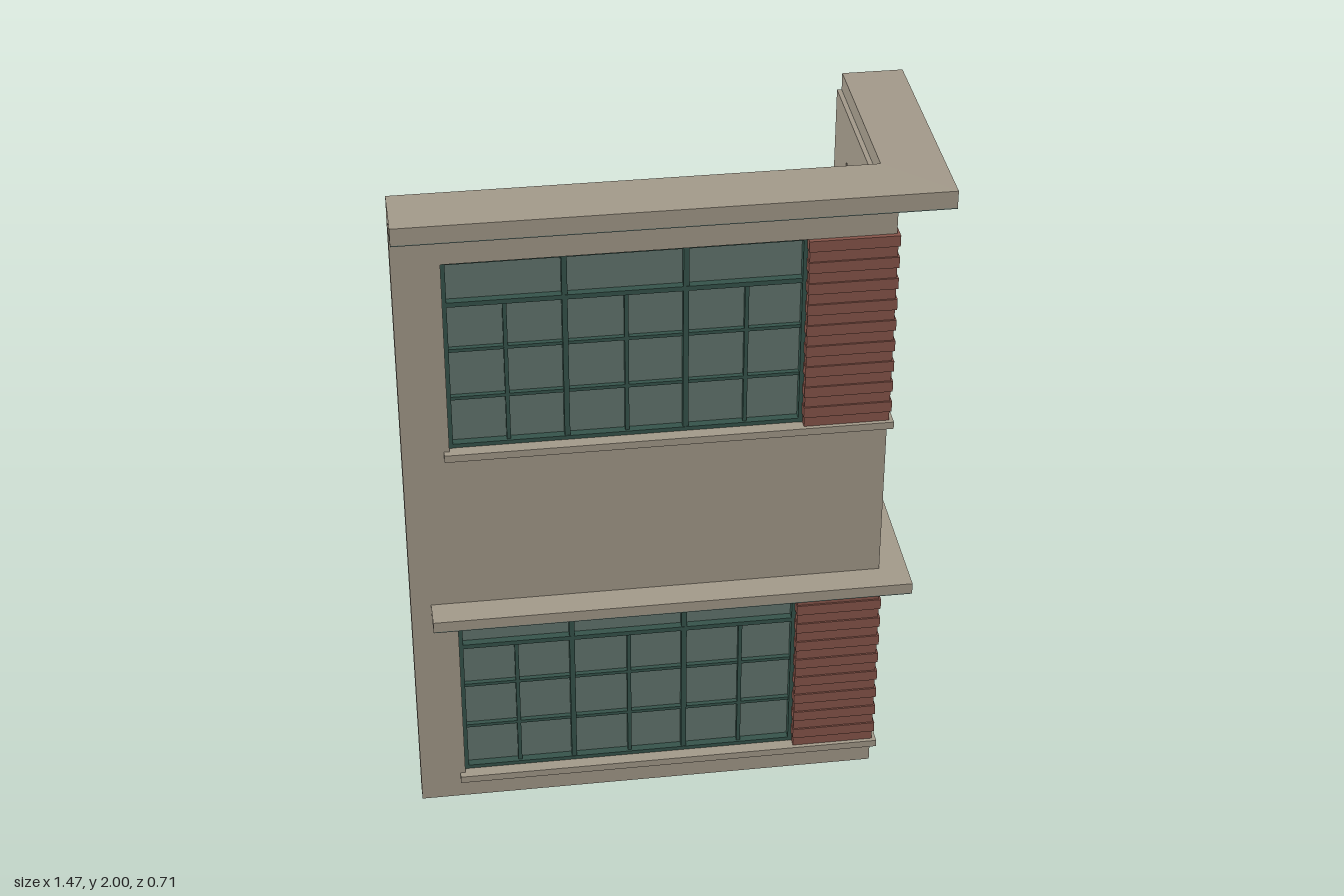
import * as THREE from 'three';

const mat = (name, color) => {
  const m = new THREE.MeshStandardMaterial({ color });
  m.name = name;
  return m;
};

export function createModel() {
  const stone = mat('stone', 0xa39a8a);
  const brick = mat('brick', 0x87554a);
  const glass = mat('glass', 0x62766f);
  const frame = mat('frameGreen', 0x36544b);

  // Box given by its limits on each axis
  const box = (parent, name, material, x0, x1, y0, y1, z0, z1) => {
    const mesh = new THREE.Mesh(new THREE.BoxGeometry(x1 - x0, y1 - y0, z1 - z0), material);
    mesh.position.set((x0 + x1) / 2, (y0 + y1) / 2, (z0 + z1) / 2);
    mesh.name = name;
    parent.add(mesh);
    return mesh;
  };

  // L-shaped slab wrapping the corner: outer corner (xo, zo), inner corner (xi, zi)
  const slab = (parent, name, material, left, back, xo, zo, xi, zi, y0, y1) => {
    const pts = [[left, zo], [xo, zo], [xo, back], [xi, back], [xi, zi], [left, zi]];
    const shape = new THREE.Shape(pts.map(([x, z]) => new THREE.Vector2(x, -z)));
    const geo = new THREE.ExtrudeGeometry(shape, { depth: y1 - y0, bevelEnabled: false });
    geo.rotateX(-Math.PI / 2);
    const mesh = new THREE.Mesh(geo, material);
    mesh.position.y = y0;
    mesh.name = name;
    parent.add(mesh);
    return mesh;
  };

  const model = new THREE.Group();
  model.name = 'cornerFacade';

  // Main wall dimensions
  const L = -0.735, B = -0.353, XO = 0.605, ZO = 0.22, XI = 0.547, ZI = 0.165;
  const winLeft = -0.605, winRight = 0.37, winBack = -0.19, winFront = 0.175;
  const winHeight = 0.588, sills = [0.084, 1.222];

  // Solid wall bands between the window storeys
  const walls = new THREE.Group();
  walls.name = 'walls';
  model.add(walls);
  [[0, sills[0]], [sills[0] + winHeight, sills[1]], [sills[1] + winHeight, 1.95]].forEach(([y0, y1]) =>
    slab(walls, 'wallBand', stone, L, B, XO, ZO, XI, ZI, y0, y1));

  // Window bars of one glazed face, laid out along u and mapped by put(u0, u1, y0, y1, depth)
  const glazing = (put, u0, u1, y, majors, minors) => {
    const top = y + winHeight, transom = y + 0.453;
    put('glassPane', glass, u0, u1, y, top, 0, 0.008);
    const upright = (u, w, yTop, d) => put('mullion', frame, u - w / 2, u + w / 2, y, yTop, 0.002, d);
    const rail = (v, h, d) => put('rail', frame, u0, u1, v - h / 2, v + h / 2, 0.002, d);
    upright(u0 + 0.006, 0.012, top, 0.032);
    upright(u1 - 0.006, 0.012, top, 0.032);
    rail(y + 0.007, 0.014, 0.031);
    rail(top - 0.006, 0.012, 0.031);
    rail(transom, 0.014, 0.03);
    majors.forEach((u) => upright(u, 0.015, top, 0.029));
    minors.forEach((u) => upright(u, 0.011, transom, 0.024));
    [0.155, 0.306].forEach((v) => rail(y + v, 0.01, 0.022));
  };

  sills.forEach((y, i) => {
    const storey = new THREE.Group();
    storey.name = i ? 'upperStorey' : 'lowerStorey';
    model.add(storey);
    const top = y + winHeight;

    // Wall piers at both free ends
    box(storey, 'leftPier', stone, L, winLeft, y, top, ZI, ZO);
    box(storey, 'rearPier', stone, XI, XO, y, top, B, winBack);

    // Front and side windows
    const front = new THREE.Group(), side = new THREE.Group();
    front.name = 'frontWindow';
    side.name = 'sideWindow';
    storey.add(front, side);
    glazing((n, m, u0, u1, y0, y1, d0, d1) =>
      box(front, n, m, u0, u1, y0, y1, 0.172 + d0, 0.172 + d1),
    winLeft, winRight, y, [-0.28, 0.045], [-0.44, -0.115, 0.21]);
    glazing((n, m, u0, u1, y0, y1, d0, d1) =>
      box(side, n, m, 0.555 + d0, 0.555 + d1, y0, y1, u0, u1),
    winBack, winFront, y, [], [-0.007]);

    // Brick corner pier with alternating courses
    const pier = new THREE.Group();
    pier.name = 'brickPier';
    storey.add(pier);
    const courses = 18, h = winHeight / courses;
    for (let k = 0; k < courses; k++) {
      const out = k % 2 ? 0.005 : 0;
      box(pier, 'brickCourse', brick, winRight - out / 2, 0.608 + out,
        y + k * h, y + (k + 1) * h, 0.173, 0.228 + out);
    }

    // Projecting sill
    slab(storey, 'sill', stone, -0.62, -0.203, 0.62, 0.24, 0.575, 0.19, y - 0.02, y + 0.002);
  });

  // Canopy and cornice, each with a dark soffit
  const ledge = (name, left, back, xo, zo, xi, zi, y0, y1) => {
    slab(model, name, stone, left, back, xo, zo, xi, zi, y0 + 0.003, y1);
    slab(model, name + 'Soffit', glass, left, back, xo, zo, xi, zi, y0, y0 + 0.003);
  };
  ledge('canopy', -0.678, -0.285, 0.685, 0.305, 0.59, 0.205, 0.675, 0.71);
  ledge('cornice', L, B, 0.73, 0.352, 0.56, 0.178, 1.948, 2);

  return model;
}
